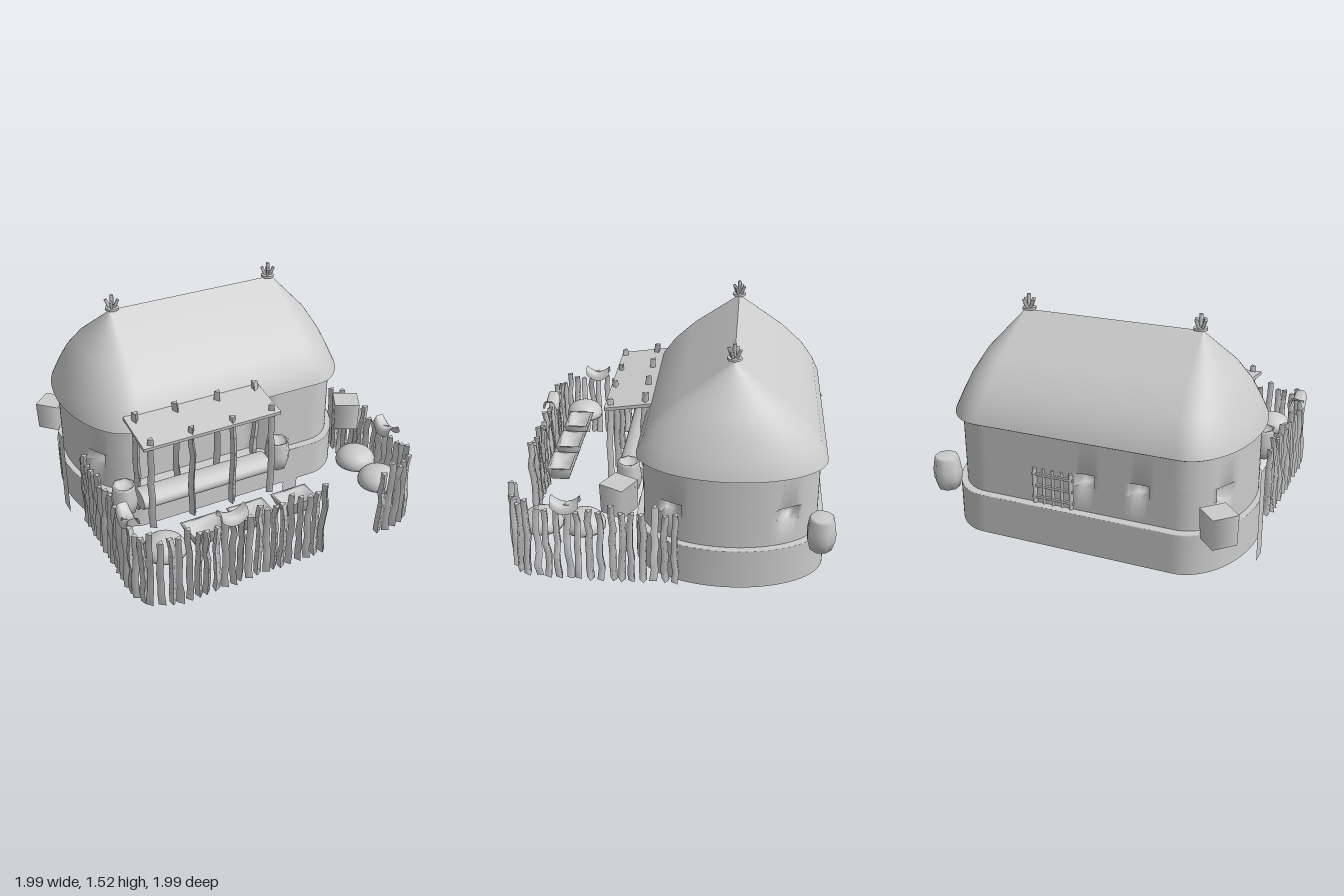
import * as THREE from 'three';

const ZC = -0.37; // centre line of the house

const mat = () => new THREE.MeshStandardMaterial({ color: 0xcccccc, side: THREE.DoubleSide });

let seed = 7;
const rnd = () => {
  seed = (seed * 16807) % 2147483647;
  return seed / 2147483647 - 0.5;
};

function add(parent, name, geometry, x = 0, y = 0, z = 0) {
  const mesh = new THREE.Mesh(geometry, mat());
  mesh.name = name;
  mesh.position.set(x, y, z);
  parent.add(mesh);
  return mesh;
}

// Rounded-end plan: two half ellipses joined by straight sides
function outline(cx, rx, rz, y) {
  const pts = [], N = 40, M = 40;
  for (const side of [1, -1]) {
    for (let i = 0; i <= N; i++) {
      const a = (i / N - 0.5) * Math.PI;
      pts.push(new THREE.Vector3(side * (cx + rx * Math.cos(a)), y, ZC + side * rz * Math.sin(a)));
    }
    for (let i = 1; i < M; i++)
      pts.push(new THREE.Vector3(side * cx * (1 - 2 * i / M), y, ZC + side * rz));
  }
  return pts;
}

// Skin a stack of closed rings, bottom to top
function loft(rings) {
  const n = rings[0].length, idx = [];
  for (let i = 0; i < rings.length - 1; i++)
    for (let j = 0; j < n; j++) {
      const a = i * n + j, b = i * n + (j + 1) % n;
      idx.push(a, a + n, b, b, a + n, b + n);
    }
  const g = new THREE.BufferGeometry().setFromPoints(rings.flat());
  g.setIndex(idx);
  g.computeVertexNormals();
  return g;
}

// House wall ring: front veranda set back, small window niches pushed inward
function wallRing(y, niches) {
  return outline(0.62, 0.32, 0.53, y).map(p => {
    if (p.z > 0.1 && p.x > -0.66) p.z -= 0.1 * THREE.MathUtils.clamp((0.32 - p.x) / 0.12, 0, 1);
    if (!niches) return p;
    if (Math.abs(p.x) > 0.7) {
      if (Math.abs(Math.abs(p.z - ZC) - 0.33) < 0.045) p.x -= Math.sign(p.x) * 0.08;
    } else if (p.z < -0.85 && (Math.abs(p.x + 0.05) < 0.045 || Math.abs(p.x + 0.39) < 0.045)) p.z += 0.08;
    return p;
  });
}

// Crooked three-sided stake standing on y0
function stake(parent, name, x, z, y0, y1, r, wobble) {
  const h = y1 - y0, g = new THREE.CylinderGeometry(r * 0.85, r, h, 3, 6);
  const shift = Array.from({ length: 7 }, () => [rnd() * wobble, rnd() * wobble]);
  const p = g.attributes.position;
  for (let i = 0; i < p.count; i++) {
    const s = shift[Math.round((p.getY(i) / h + 0.5) * 6)];
    p.setX(i, p.getX(i) + s[0]);
    p.setZ(i, p.getZ(i) + s[1]);
  }
  g.computeVertexNormals();
  add(parent, name, g, x, y0 + h / 2, z).rotation.y = rnd() * 1.2;
}

// Solid of revolution from [radius, height] pairs
const lathe = (pts, sides) => new THREE.LatheGeometry(pts.map(p => new THREE.Vector2(...p)), sides);

// Bulging jar, open at the top or closed with a shallow lid
function jar(parent, name, x, y, z, r, h, sides, turn, open) {
  const body = [[0, 0], [r * 0.75, 0], [r * 0.97, h * 0.3], [r, h * 0.55], [r * 0.85, h * 0.92]];
  const top = open
    ? [[r * 0.88, h], [r * 0.72, h], [r * 0.65, h * 0.85], [0, h * 0.8]]
    : [[r * 0.75, h], [0, h]];
  add(parent, name, lathe([...body, ...top], sides), x, y, z).rotation.y = turn;
}

// Hide slung over the fence: arched across, sagging along its length
function hide(parent, x, z, turn) {
  const g = new THREE.CylinderGeometry(0.05, 0.05, 0.17, 10, 8, true, 0, Math.PI);
  g.rotateZ(Math.PI / 2);
  const p = g.attributes.position;
  for (let i = 0; i < p.count; i++) {
    const t = p.getX(i) / 0.085;
    p.setY(i, Math.min(Math.abs(p.getY(i)) * 1.2, 0.05) + 0.045 * t * t - 0.02);
    p.setZ(i, p.getZ(i) * (1 - 0.15 * t * t));
  }
  g.computeVertexNormals();
  add(parent, 'drapedHide', g, x, 0.615, z).rotation.y = turn;
}

// Hollow tray: tapered outside, hollow inside
function tray(parent, x, z) {
  const rect = (w, d, y) => [[1, -1], [1, 1], [-1, 1], [-1, -1]]
    .map(([a, b]) => new THREE.Vector3(a * w, y, b * d));
  const g = loft([rect(0, 0, 0), rect(0.085, 0.055, 0), rect(0.125, 0.087, 0.09),
    rect(0.105, 0.068, 0.09), rect(0.085, 0.055, 0.03), rect(0, 0, 0.03)]);
  add(parent, 'tray', g, x, 0.38, z);
}

function fence(parent, path, count) {
  const curve = new THREE.CatmullRomCurve3(path.map(([x, z]) => new THREE.Vector3(x, 0, z)));
  curve.getSpacedPoints(count).forEach((p, i) => stake(parent, 'fenceStake', p.x + rnd() * 0.01,
    p.z + rnd() * 0.01, 0.13, i % 4 === 1 ? 0.65 : 0.6 + rnd() * 0.02, 0.027, 0.018));
}

export function createModel() {
  const model = new THREE.Group();
  const group = name => {
    const g = new THREE.Group();
    g.name = name;
    model.add(g);
    return g;
  };

  // House: plinth with floor, wall and thatched roof
  const house = group('house');
  const base = y => outline(0.625, 0.35, 0.578, y);
  add(house, 'plinth', loft([base(0.13), base(0.38), base(0.39), outline(0, 0, 0, 0.39)]));
  add(house, 'wall', loft([wallRing(0.39, false), wallRing(0.546, false), wallRing(0.55, true),
    wallRing(0.63, true), wallRing(0.634, false), wallRing(0.85, false)]));
  const roof = [[0.65, 0.31, 0.56, 0.843], [0.65, 0.325, 0.57, 0.85], [0.63, 0.3, 0.525, 0.95],
    [0.61, 0.27, 0.45, 1.06], [0.595, 0.205, 0.315, 1.19], [0.585, 0, 0, 1.42]];
  add(house, 'roof', loft(roof.map(r => outline(...r))));
  add(house, 'frontPlank', new THREE.PlaneGeometry(0.11, 0.39), 0.445, 0.195, 0.212);
  add(house, 'endPlank', new THREE.PlaneGeometry(0.11, 0.6), -0.987, 0.3, -0.365).rotation.y = -Math.PI / 2;

  // Stick bundles on the ridge ends
  for (const x of [-0.57, 0.555]) {
    const knot = group('ridgeSticks');
    knot.position.set(x, 1.42, ZC);
    add(knot, 'collar', new THREE.CylinderGeometry(0.045, 0.045, 0.015, 8), 0, 0.01, 0);
    add(knot, 'stick', new THREE.CylinderGeometry(0.013, 0.013, 0.1, 5), 0, 0.05, 0);
    for (let i = 0; i < 4; i++) {
      const a = (i + 0.3) * Math.PI / 2;
      const s = add(knot, 'stick', new THREE.CylinderGeometry(0.011, 0.011, 0.075, 5),
        Math.cos(a) * 0.025, 0.035, Math.sin(a) * 0.025);
      s.rotation.set(Math.sin(a) * 0.4, 0, -Math.cos(a) * 0.4);
    }
  }

  // Lattice on the back wall
  const lattice = group('backLattice');
  for (let i = 0; i < 5; i++) {
    const r = i % 4 === 0 ? 0.014 : 0.009;
    add(lattice, 'bar', new THREE.CylinderGeometry(r, r, 0.23, 5), 0.03 + i * 0.06, 0.505, -0.905);
  }
  for (const y of [0.43, 0.505, 0.58])
    add(lattice, 'crossBar', new THREE.BoxGeometry(0.27, 0.016, 0.016), 0.15, y, -0.907);

  // Veranda: sloping cover, posts and a broad log bench
  const veranda = group('veranda');
  add(veranda, 'cover', new THREE.BoxGeometry(0.93, 0.022, 0.325), -0.265, 0.917, 0.3).rotation.x = 0.14;
  for (const x of [-0.68, -0.4, -0.12, 0.155]) {
    stake(veranda, 'backPost', x, 0.205, 0.29, 1.0, 0.028, 0.018);
    stake(veranda, 'frontPost', x, 0.43, 0.29, 0.95, 0.026, 0.018);
  }
  const log = add(veranda, 'logBench', new THREE.CylinderGeometry(0.062, 0.062, 0.9, 14), -0.265, 0.43, 0.3);
  log.rotation.z = Math.PI / 2;
  log.scale.z = 1.5;

  // Storage jars, square baskets, domes and trays
  const yard = group('yardGoods');
  jar(yard, 'jar', -0.81, 0.37, 0.3, 0.085, 0.2, 7, 0, true);
  jar(yard, 'jar', 0.28, 0.37, 0.3, 0.085, 0.2, 7, 0.4, true);
  jar(yard, 'largeJar', 0.88, 0.38, -0.91, 0.09, 0.215, 8, 0.4, false);
  for (const [x, y, z, turn] of [[-0.88, 0.46, -0.885, 0], [0.815, 0.635, 0.285, 0.3]])
    add(yard, 'squareBasket', new THREE.CylinderGeometry(0.116, 0.11, 0.19, 4), x, y, z).rotation.y = turn;
  const dome = [[0, 0], [0.128, 0], [0.13, 0.02]];
  for (let i = 1; i <= 8; i++) {
    const a = i * Math.PI / 16;
    dome.push([0.13 * Math.cos(a), 0.02 + 0.09 * Math.sin(a)]);
  }
  for (const [x, z] of [[-0.75, 0.77], [0.765, 0.51], [0.765, 0.77]])
    add(yard, 'domeBasket', lathe(dome, 24), x, 0.38, z);
  for (const x of [-0.485, -0.175, 0.135]) tray(yard, x, 0.765);

  // Stake fence with a gateway, and hides hung over it
  const stakes = group('fence');
  fence(stakes, [[-0.955, -0.06], [-0.955, 0.35], [-0.955, 0.75], [-0.91, 0.88], [-0.78, 0.945], [-0.3, 0.945], [0.24, 0.945]], 37);
  fence(stakes, [[0.665, 0.955], [0.78, 0.945], [0.91, 0.87], [0.945, 0.73], [0.945, 0.35], [0.945, -0.06]], 19);
  hide(stakes, -0.94, 0.69, Math.PI / 2);
  hide(stakes, -0.395, 0.94, 0);
  hide(stakes, 0.94, 0.585, Math.PI / 2);
  return model;
}
